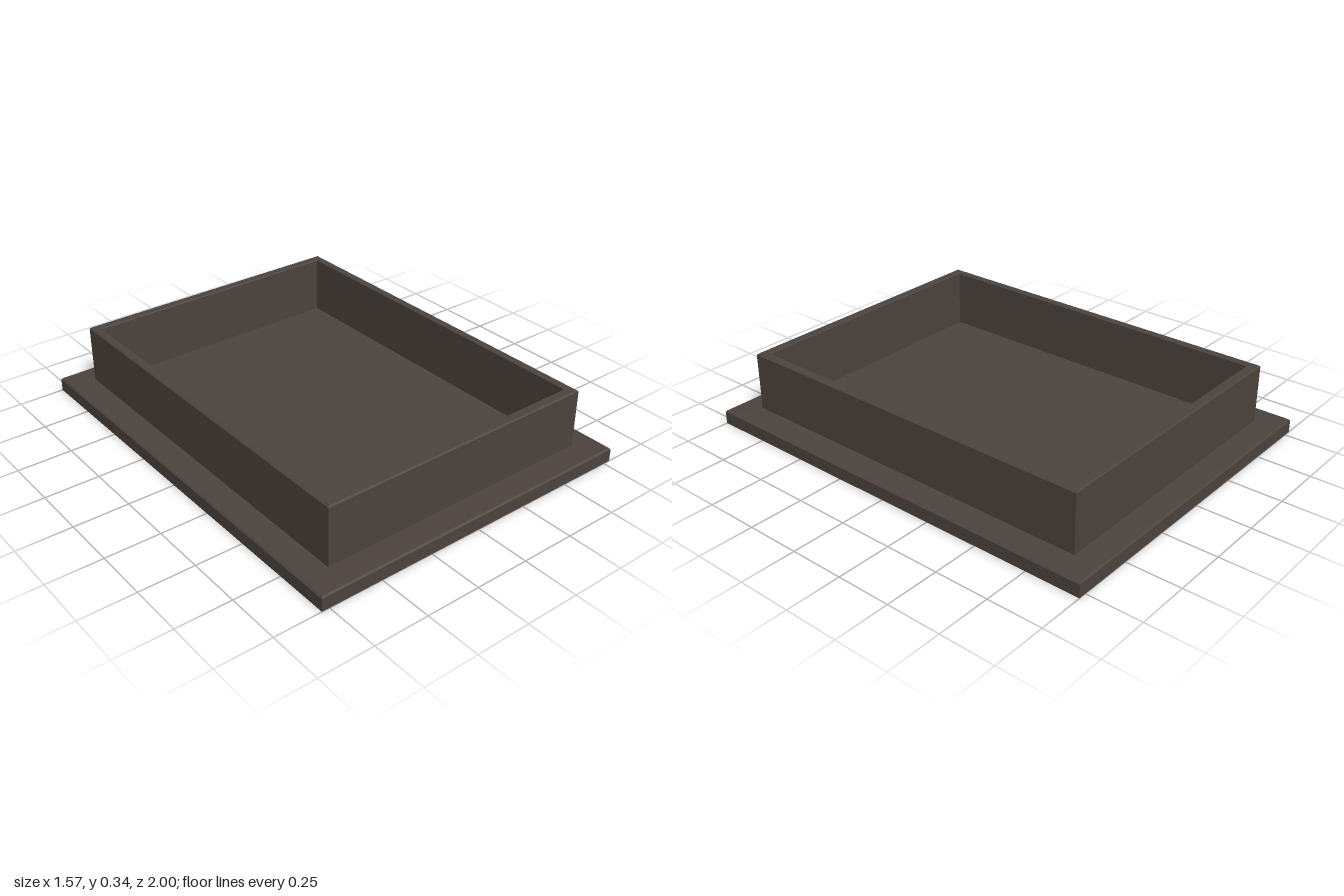
import * as THREE from 'three';

// Sweeps a cross-section of [halfX, halfZ, y] points around a rectangle, with crisp mitred corners.
function frame(profile) {
  const corners = [[1, 1], [1, -1], [-1, -1], [-1, 1]];
  const pos = [];
  const at = ([hx, hz, y], k) => {
    const [sx, sz] = corners[k % 4];
    return [hx * sx, y, hz * sz];
  };
  for (let i = 0; i < profile.length - 1; i++) {
    for (let k = 0; k < 4; k++) {
      const a0 = at(profile[i], k), a1 = at(profile[i], k + 1);
      const b0 = at(profile[i + 1], k), b1 = at(profile[i + 1], k + 1);
      pos.push(...a0, ...b0, ...b1, ...a0, ...b1, ...a1);
    }
  }
  const g = new THREE.BufferGeometry();
  g.setAttribute('position', new THREE.Float32BufferAttribute(pos, 3));
  g.computeVertexNormals();
  return g;
}

export function createModel() {
  const group = new THREE.Group();
  const darkBrown = new THREE.MeshStandardMaterial({ color: 0x4d443e });
  darkBrown.name = 'darkBrown';
  const add = (name, geometry) => {
    const mesh = new THREE.Mesh(geometry, darkBrown);
    mesh.name = name;
    group.add(mesh);
    return mesh;
  };

  const X = 0.665, Z = 0.885;   // outside of the walls
  const IX = 0.625, IZ = 0.84;  // inside of the walls
  const floorY = 0.067, underY = 0.055, topY = 0.342;

  // Wide flange with softened edge and a thin lip, hollow underneath
  add('flange', frame([
    [X, Z, 0.069], [0.74, 0.9, 0.069], [0.778, 0.993, 0.066],
    [0.785, 1, 0.059], [0.785, 1, 0],
    [0.773, 0.988, 0], [0.773, 0.988, underY], [X, Z, underY],
  ]));

  // Upright walls with a fine bevel along the top
  const b = 0.006;
  add('walls', frame([
    [IX, IZ, floorY], [IX, IZ, topY - b / 2], [IX + b / 2, IZ + b / 2, topY],
    [X - b, Z - b, topY], [X, Z, topY - b], [X, Z, 0.066],
  ]));

  // Tray floor
  const floor = add('floor', new THREE.BoxGeometry(2 * X, floorY - underY, 2 * Z));
  floor.position.y = (floorY + underY) / 2;

  // Locating ridge below the walls
  add('undersideRidge', frame([
    [X, Z, underY], [X, Z, 0.032], [IX, IZ, 0.032], [IX, IZ, underY],
  ]));

  return group;
}
